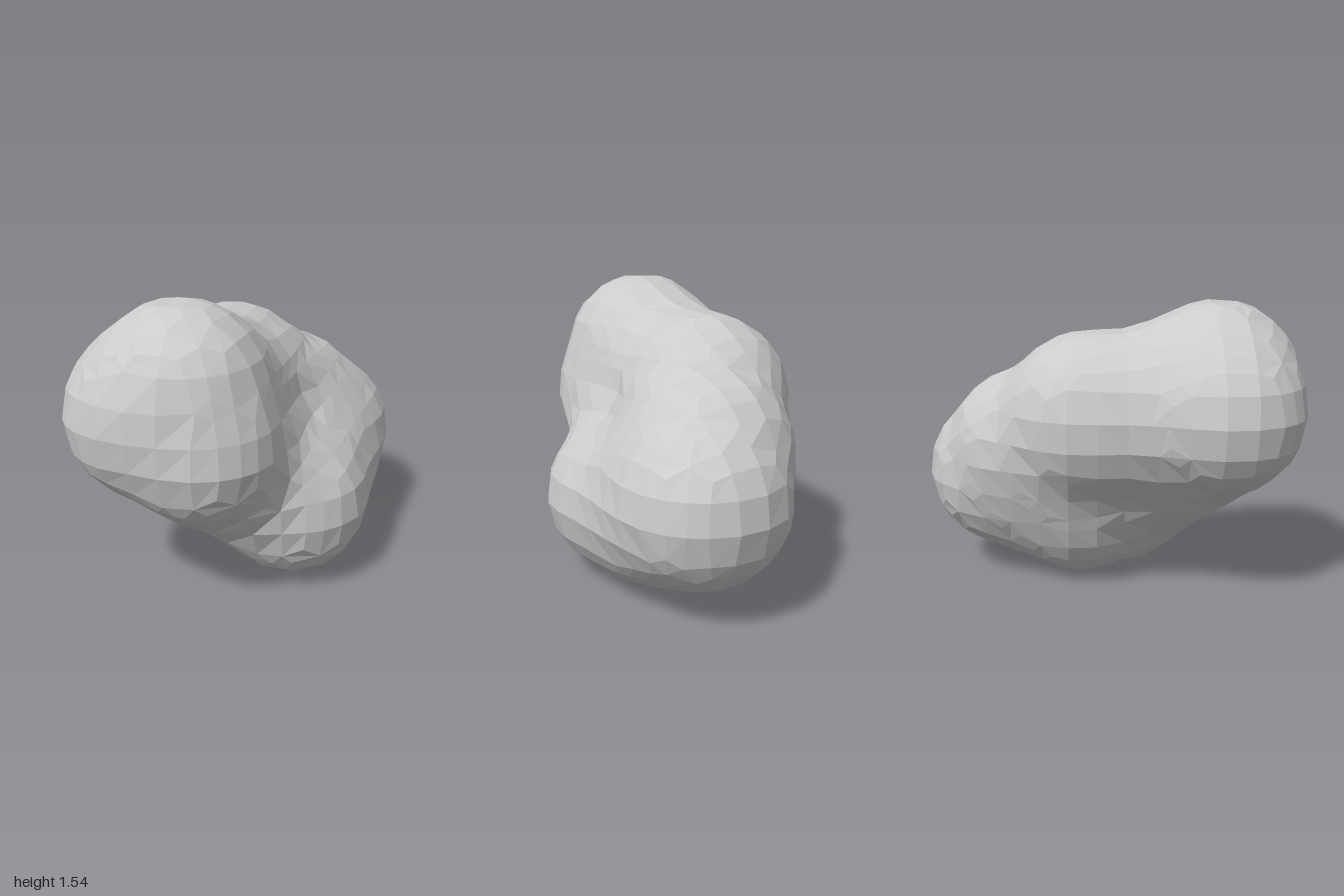
import * as THREE from 'three';

const STEP = 0.147;                                   // facet size
const ORIGIN = new THREE.Vector3(-1.03, -0.247, -1.32);
const CELLS = [14, 15, 19];

const v = (x, y, z) => new THREE.Vector3(x, y, z);

// Distance to a round lobe
const ball = (centre, radius) => p => p.distanceTo(centre) - radius;

// Distance to a rounded lobe running from a to b
function lobe(a, b, radius) {
  const line = new THREE.Line3(a, b), near = v(0, 0, 0);
  return p => {
    line.closestPointToPoint(p, true, near);
    return near.distanceTo(p) - radius;
  };
}

// Smooth union: lobes melt together over a width k
function melt(k, ...parts) {
  return p => parts.map(part => part(p)).reduce((a, b) => {
    const h = Math.max(k - Math.abs(a - b), 0) / k;
    return Math.min(a, b) - h * h * k / 4;
  });
}

// Upper front head
const head = melt(0.08,
  ball(v(-0.13, 1.13, 0.56), 0.43),
  ball(v(-0.28, 1.0, 0.57), 0.425),
  ball(v(-0.03, 0.89, 0.59), 0.4));
// Ridge running down from the head to the back end
const ridge = melt(0.03,
  lobe(v(-0.12, 0.97, 0.2), v(-0.1, 0.95, -0.1), 0.445),
  lobe(v(-0.1, 0.95, -0.1), v(0.26, 0.58, -0.56), 0.44),
  ball(v(0.12, 0.76, -0.44), 0.42));
// Neck under the head
const neck = ball(v(0, 0.7, 0.35), 0.38);
// Belly the body rests on
const belly = melt(0.06,
  lobe(v(0.29, 0.43, 0.1), v(0.27, 0.44, -0.18), 0.42),
  ball(v(0.14, 0.44, -0.15), 0.425));

const field = melt(0.2, melt(0.15, head, ridge, neck), belly);

function slope(p) {
  const e = 0.004, g = v(0, 0, 0);
  for (const axis of ['x', 'y', 'z']) {
    const a = p.clone(), b = p.clone();
    a[axis] += e;
    b[axis] -= e;
    g[axis] = (field(a) - field(b)) / (2 * e);
  }
  return g;
}

// One skin over all the lobes: a vertex per crossed cell, a quad per crossed edge
function skinGeometry() {
  const corner = c => v(...c).multiplyScalar(STEP).add(ORIGIN);
  const values = new Map();
  const value = c => {
    const key = c.join();
    if (!values.has(key)) values.set(key, field(corner(c)));
    return values.get(key);
  };
  const shift = (c, axis, n) => c.map((t, i) => (i === axis ? t + n : t));

  const positions = [], index = [], ids = new Map();
  function cellVertex(c) {
    const key = c.join();
    if (ids.has(key)) return ids.get(key);
    const sum = v(0, 0, 0);
    let count = 0;
    for (let n = 0; n < 8; n++) {
      for (let axis = 0; axis < 3; axis++) {
        if (n & (1 << axis)) continue;
        const a = [c[0] + (n & 1), c[1] + ((n >> 1) & 1), c[2] + ((n >> 2) & 1)];
        const b = shift(a, axis, 1);
        const fa = value(a), fb = value(b);
        if ((fa < 0) === (fb < 0)) continue;
        sum.add(corner(a).lerp(corner(b), fa / (fa - fb)));
        count++;
      }
    }
    const p = sum.divideScalar(count);
    // Settle the vertex on the surface
    for (let i = 0; i < 4; i++) {
      const g = slope(p);
      p.addScaledVector(g, -field(p) / Math.max(g.lengthSq(), 0.4));
    }
    ids.set(key, positions.length / 3);
    positions.push(p.x, p.y, p.z);
    return ids.get(key);
  }

  for (let x = 1; x < CELLS[0]; x++) {
    for (let y = 1; y < CELLS[1]; y++) {
      for (let z = 1; z < CELLS[2]; z++) {
        const c = [x, y, z];
        for (let axis = 0; axis < 3; axis++) {
          const inside = value(c) < 0;
          if (inside === (value(shift(c, axis, 1)) < 0)) continue;
          const u = (axis + 1) % 3, w = (axis + 2) % 3;
          const quad = [c, shift(c, u, -1), shift(shift(c, u, -1), w, -1), shift(c, w, -1)].map(cellVertex);
          if (!inside) quad.reverse();
          const [a, b, d, e] = quad;
          index.push(a, b, d, a, d, e);
        }
      }
    }
  }

  const geometry = new THREE.BufferGeometry();
  geometry.setAttribute('position', new THREE.Float32BufferAttribute(positions, 3));
  geometry.setIndex(index);
  geometry.computeVertexNormals();
  return geometry;
}

export function createModel() {
  const geometry = skinGeometry();

  // Centre it and stand it on the ground
  geometry.computeBoundingBox();
  const { min, max } = geometry.boundingBox;
  geometry.translate(-(min.x + max.x) / 2, -min.y, -(min.z + max.z) / 2);

  const material = new THREE.MeshStandardMaterial({ color: 0xcccccc, flatShading: true });
  const boulder = new THREE.Mesh(geometry, material);
  boulder.name = 'lobedBoulder';

  const group = new THREE.Group();
  group.name = 'boulder';
  group.add(boulder);
  return group;
}
